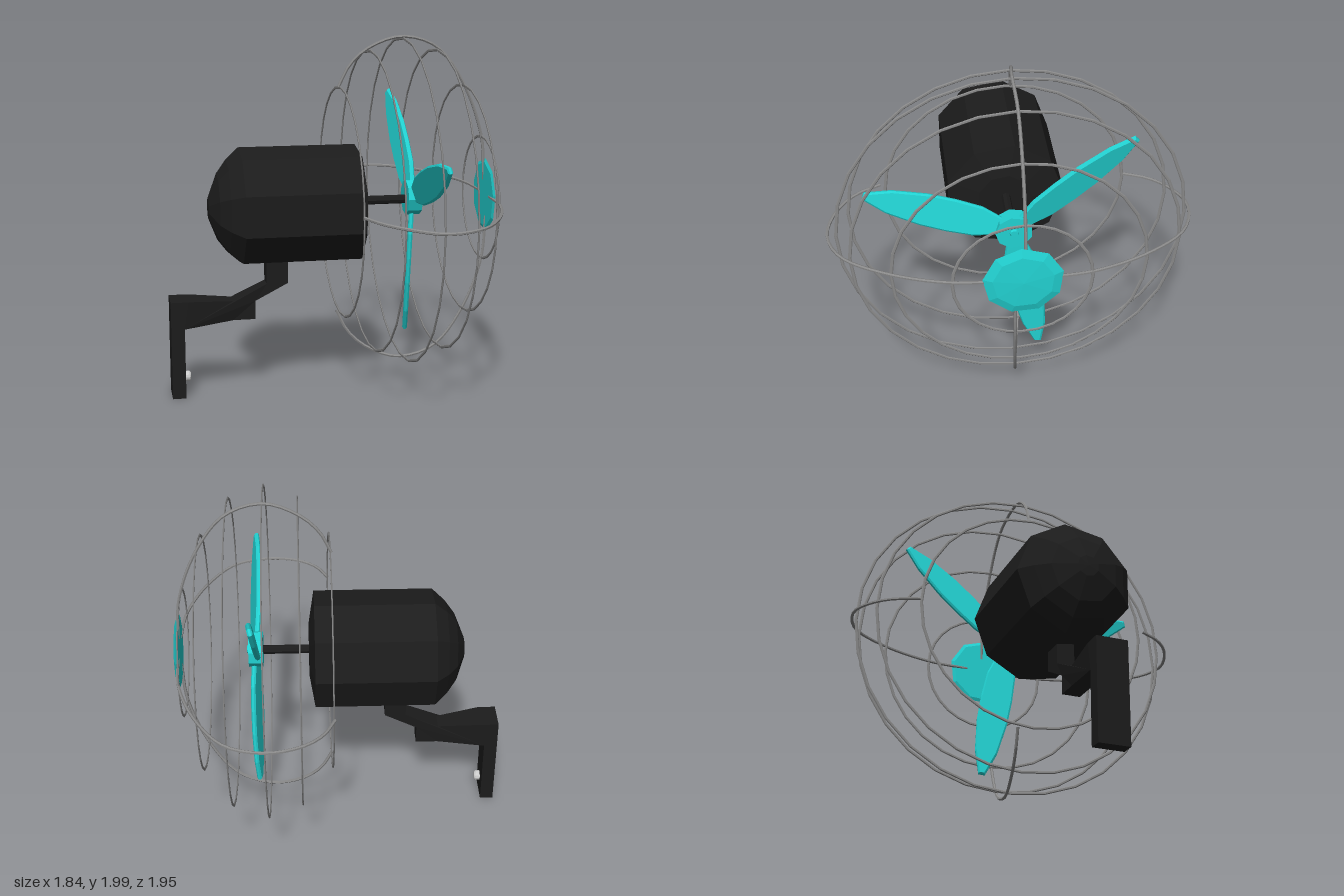
import * as THREE from 'three';

const mat = (color, extra = {}) => new THREE.MeshStandardMaterial({ color, flatShading: true, ...extra });
const V = (x, y) => new THREE.Vector2(x, y);

export function createModel() {
  const model = new THREE.Group();
  const black = mat(0x1c1c1c), teal = mat(0x22d3d3), wire = mat(0x888888), steel = mat(0xcccccc);

  const add = (name, geometry, material, parent = model) => {
    const mesh = new THREE.Mesh(geometry, material);
    mesh.name = name;
    parent.add(mesh);
    return mesh;
  };
  // Turned part along the x axis; profile points are [x, radius], running from -x to +x
  const turned = (name, profile, sides, material, y, z, phase = 0) => {
    const g = new THREE.LatheGeometry(profile.map(([x, r]) => V(r, x)), sides);
    g.rotateY(phase).rotateZ(-Math.PI / 2).translate(0, y, z);
    return add(name, g, material);
  };

  // Motor housing with domed back, and its shaft
  turned('motorHousing', [[-0.7, 0], [-0.695, 0.06], [-0.645, 0.19], [-0.59, 0.265], [-0.52, 0.33],
    [0.14, 0.33], [0.17, 0.15], [0.17, 0]], 9, black, 1.06, -0.01, Math.PI);
  turned('shaft', [[0.16, 0], [0.16, 0.025], [0.45, 0.025], [0.45, 0]], 8, black, 1.07, -0.015);

  // Hub with three pitched blades
  turned('hub', [[0.425, 0], [0.425, 0.1], [0.505, 0.1], [0.505, 0.025], [0.515, 0.02], [0.515, 0]],
    9, teal, 1.08, -0.02);
  const side = [[0.04, 0.08], [0.075, 0.2], [0.083, 0.35], [0.08, 0.5], [0.055, 0.69], [0.012, 0.82]];
  const outline = [...side, ...side.map(([x, y]) => [-x, y]).reverse()].map(p => V(...p));
  const bladeGeometry = new THREE.ExtrudeGeometry(new THREE.Shape(outline), {
    depth: 0.012, bevelEnabled: true, bevelThickness: 0.008, bevelSize: 0.009, bevelSegments: 1,
  });
  bladeGeometry.translate(0, 0, -0.006).rotateY(Math.PI / 2 + 0.25);
  for (const degrees of [40, 160, 280]) {
    const blade = add('blade', bladeGeometry, teal);
    blade.position.set(0.467, 1.08, -0.02);
    blade.rotation.x = THREE.MathUtils.degToRad(degrees - 90);
  }

  // Guard: flat wire hoops
  const guard = new THREE.Group();
  guard.name = 'guard';
  model.add(guard);
  const cy = 1.065, cz = -0.02;
  for (const [x, r] of [[0.05, 0.645], [0.22, 0.845], [0.405, 0.912], [0.6, 0.845], [0.76, 0.645], [0.87, 0.35]]) {
    const g = new THREE.TorusGeometry(r, 0.009, 6, 28);
    g.scale(1.027, 1, 0.5).rotateY(Math.PI / 2).translate(x, cy, cz);
    add('guardHoop', g, wire, guard);
  }

  // Guard: four bowed ribs, each drifting slightly sideways (back, middle, front)
  const bow = [[0.045, 0.645], [0.11, 0.77], [0.22, 0.865], [0.4, 0.922], [0.6, 0.86], [0.76, 0.65], [0.87, 0.35], [0.89, 0.1]];
  const ribs = [
    { up: 1, out: 0, scale: 1, drift: [-0.05, -0.015, -0.03] },
    { up: -1, out: 0, scale: 1.015, drift: [-0.11, -0.045, 0.02] },
    { up: 0, out: 1, scale: 1.065, drift: [1.115, 1.08, 1.085] },
    { up: 0, out: -1, scale: 1.035, drift: [1.08, 1.105, 1.09] },
  ];
  for (const { up, out, scale, drift: [a, b, c] } of ribs) {
    const points = bow.map(([x, r]) => {
      const d = x < 0.4 ? THREE.MathUtils.mapLinear(x, 0.045, 0.4, a, b) : THREE.MathUtils.mapLinear(x, 0.4, 0.89, b, c);
      return new THREE.Vector3(x, up ? cy + up * r * scale : d, up ? d : cz + out * r * scale);
    });
    add('guardRib', new THREE.TubeGeometry(new THREE.CatmullRomCurve3(points), 28, 0.009, 6), wire, guard);
  }

  // Faceted badge plate on the front of the guard
  turned('guardCap', [[0.885, 0], [0.885, 0.19], [0.893, 0.21], [0.908, 0.16], [0.915, 0]],
    9, teal, 1.08, -0.02, Math.PI + 0.23);

  // Cranked mounting bracket, narrowing towards the motor
  const crank = [[-0.92, 0], [-0.845, 0], [-0.845, 0.4], [-0.57, 0.425], [-0.445, 0.425], [-0.445, 0.53],
    [-0.26, 0.625], [-0.26, 0.75], [-0.38, 0.75], [-0.38, 0.625], [-0.57, 0.535], [-0.82, 0.555], [-0.92, 0.555]];
  const bracket = new THREE.ExtrudeGeometry(new THREE.Shape(crank.map(p => V(...p))), { depth: 2, bevelEnabled: false });
  bracket.translate(0, 0, -1);
  const pos = bracket.attributes.position;
  for (let i = 0; i < pos.count; i++) {
    const t = THREE.MathUtils.clamp((pos.getX(i) + 0.82) / 0.25, 0, 1);
    pos.setZ(i, pos.getZ(i) * THREE.MathUtils.lerp(0.086, 0.05, t) + THREE.MathUtils.lerp(0.007, -0.008, t));
  }
  bracket.computeVertexNormals();
  add('bracket', bracket, black);

  // Mounting screw
  turned('screw', [[-0.85, 0], [-0.85, 0.029], [-0.82, 0.029], [-0.812, 0.022], [-0.812, 0]], 12, steel, 0.104, 0.01);

  return model;
}
